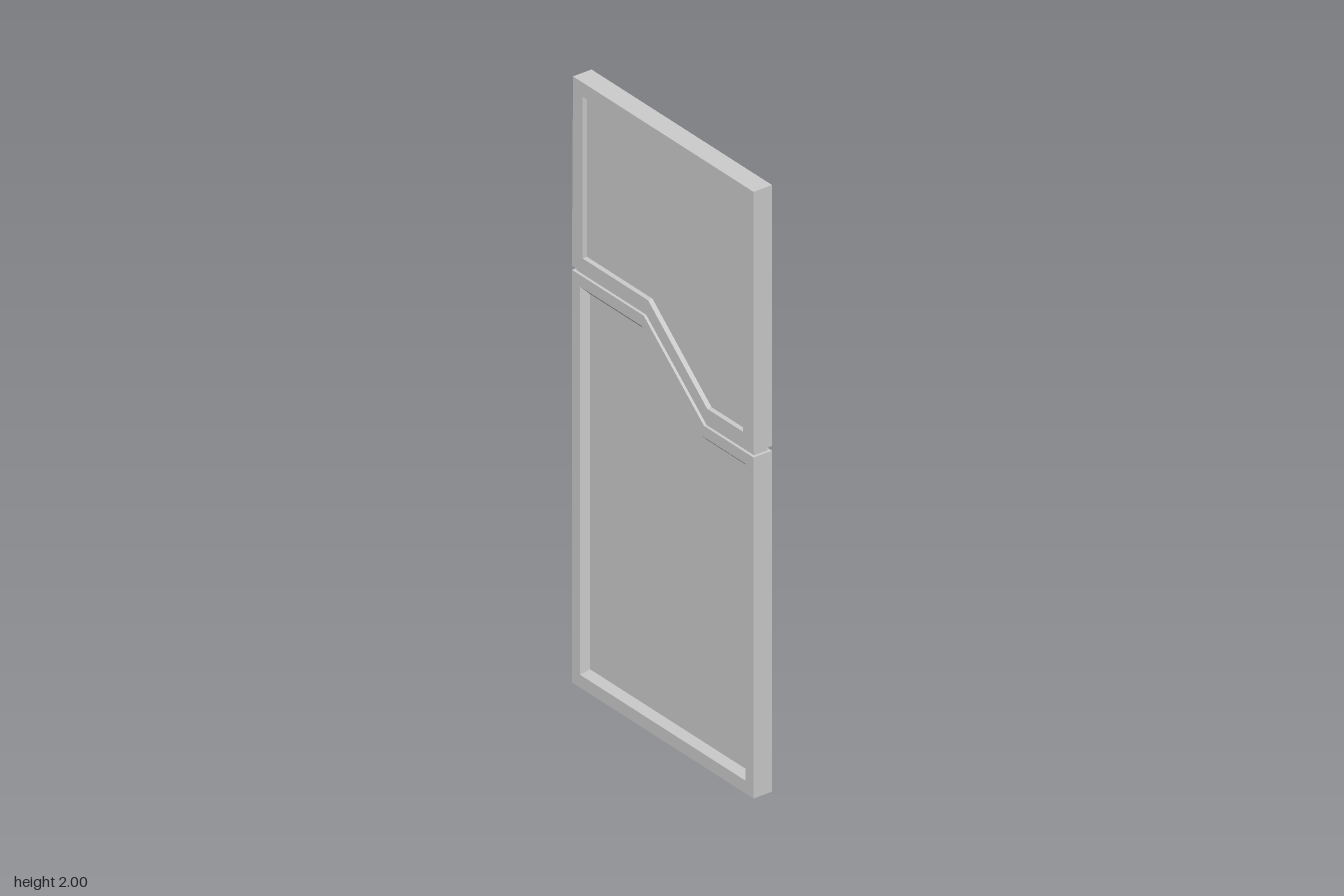
import * as THREE from 'three';

const HALF = 0.0335; // half the door thickness
const material = new THREE.MeshStandardMaterial({ color: 0xcccccc, flatShading: true });

const toShape = pts => new THREE.Shape(pts.map(p => new THREE.Vector2(...p)));

function addMesh(group, geometry, name) {
  const mesh = new THREE.Mesh(geometry, material);
  mesh.name = name;
  group.add(mesh);
  return mesh;
}

// Band of quads joining two matching loops (listed counter-clockwise)
function band(a, za, b, zb) {
  const pos = [];
  a.forEach((p, i) => {
    const j = (i + 1) % a.length;
    const A = [...p, za], B = [...a[j], za], C = [...b[j], zb], D = [...b[i], zb];
    pos.push(...A, ...B, ...C, ...A, ...C, ...D);
  });
  const g = new THREE.BufferGeometry();
  g.setAttribute('position', new THREE.Float32BufferAttribute(pos, 3));
  g.computeVertexNormals();
  return g;
}

// Door section with a sunken panel on both faces; loops run counter-clockwise
function section(name, outer, rim, panel, depth) {
  const group = new THREE.Group();
  group.name = name;
  addMesh(group, band(outer, -HALF, outer, HALF), name + 'Edge');
  for (const side of ['front', 'back']) {
    const face = new THREE.Group();
    face.name = side + 'Face';
    const frame = toShape(outer);
    frame.holes.push(new THREE.Path(rim.map(p => new THREE.Vector2(...p))));
    const frameGeo = new THREE.ShapeGeometry(frame).translate(0, 0, HALF);
    const wallGeo = band(rim, HALF, panel, HALF - depth);
    const panelGeo = new THREE.ShapeGeometry(toShape(panel)).translate(0, 0, HALF - depth);
    const parts = { Frame: frameGeo, RecessWall: wallGeo, Panel: panelGeo };
    for (const [part, geo] of Object.entries(parts)) {
      if (side === 'back') {
        // mirror in z and flip the winding
        geo.scale(1, 1, -1);
        const flat = geo.index ? geo.toNonIndexed() : geo;
        const p = flat.attributes.position;
        for (let i = 0; i < p.count; i += 3) {
          const v = [p.getX(i + 1), p.getY(i + 1), p.getZ(i + 1)];
          p.setXYZ(i + 1, p.getX(i + 2), p.getY(i + 2), p.getZ(i + 2));
          p.setXYZ(i + 2, ...v);
        }
        flat.computeVertexNormals();
        addMesh(face, flat, name + part);
      } else addMesh(face, geo, name + part);
    }
    group.add(face);
  }
  return group;
}

export function createModel() {
  const door = new THREE.Group();
  door.name = 'door';

  // Stepped seam between the two sections, left to right
  const seamTop = [[-0.431, 1.373], [-0.085, 1.373], [0.2, 1.14], [0.43, 1.14]];
  const seamBottom = [[-0.431, 1.36], [-0.09, 1.36], [0.195, 1.124], [0.43, 1.124]];

  // Upper section: straight-walled recess
  const upperRim = [[-0.38, 1.42], [-0.07, 1.42], [0.21, 1.187], [0.38, 1.187], [0.38, 1.953], [-0.38, 1.953]];
  door.add(section('upperSection', [...seamTop, [0.43, 2], [-0.426, 2]], upperRim, upperRim, 0.016));

  // Lower section: recess with sloping walls
  const lowerOuter = [[-0.431, 0], [0.43, 0], ...[...seamBottom].reverse()];
  const lowerRim = [[-0.392, 0.042], [0.392, 0.042], [0.392, 1.087], [0.186, 1.087], [-0.101, 1.322], [-0.392, 1.322]];
  const lowerPanel = [[-0.371, 0.063], [0.371, 0.063], [0.371, 1.066], [0.178, 1.066], [-0.109, 1.3], [-0.371, 1.3]];
  door.add(section('lowerSection', lowerOuter, lowerRim, lowerPanel, 0.02));

  // Inset core that forms the floor of the groove all round
  const inset = pts => pts.map(([x, y]) => [THREE.MathUtils.clamp(x, -0.421, 0.42), y]);
  const core = toShape([...inset(seamBottom), ...inset(seamTop).reverse()]);
  const coreGeo = new THREE.ExtrudeGeometry(core, { depth: 0.048, bevelEnabled: false });
  addMesh(door, coreGeo.translate(0, 0, -0.024), 'grooveCore');

  return door;
}
